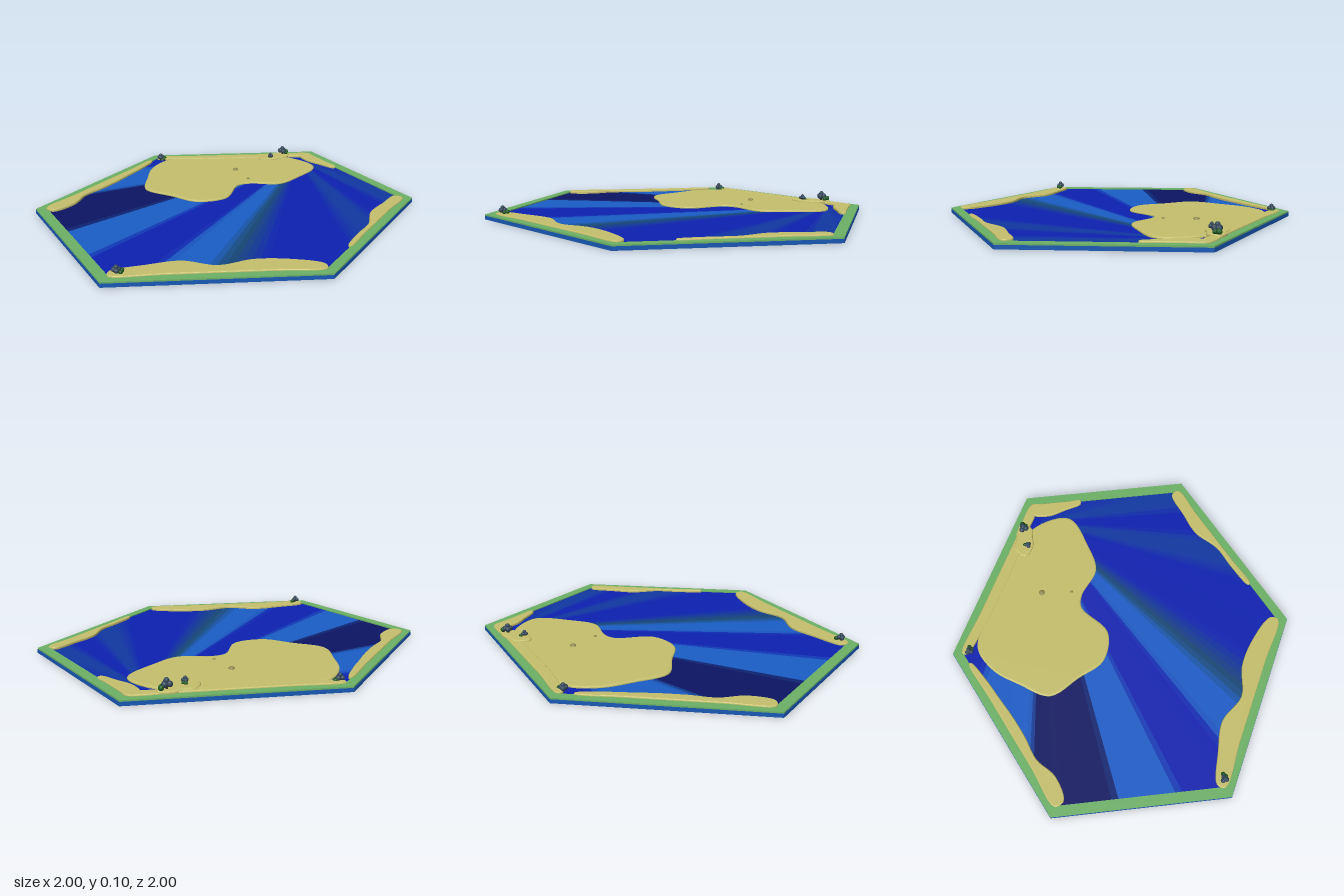
import * as THREE from 'three';

const mat = (color, extra = {}) => new THREE.MeshStandardMaterial({ color, ...extra });
const SAND = mat(0xc4be6c), RIM = mat(0x6cb066), BASE = mat(0x1858b4);
const LEAF = mat(0x1f5a22, { flatShading: true }), PINE = mat(0x34485a, { flatShading: true });
const TRUNK = mat(0x3a3226), ROCK = mat(0x8f8a50, { flatShading: true });

// Ground-plane points are Vector2(x, -z); hexagon edges run from the front corner towards +x
const hexagon = (s) => [[0, 1], [1, 0.5], [1, -0.5], [0, -1], [-1, -0.5], [-1, 0.5]]
  .map(([x, z]) => new THREE.Vector2(x * s, -z * s));

// Point on the hexagon border: whole part of t is the edge, the fraction runs along it
function borderPoint(s, t) {
  const corners = hexagon(s), i = Math.floor(t);
  return corners[i % 6].clone().lerp(corners[(i + 1) % 6], t - i);
}

function addMesh(group, name, geometry, material, x = 0, y = 0, z = 0) {
  const mesh = new THREE.Mesh(geometry, material);
  mesh.name = name;
  mesh.position.set(x, y, z);
  group.add(mesh);
  return mesh;
}

function slab(outline, hole, depth) {
  const shape = new THREE.Shape(outline);
  if (hole) shape.holes.push(new THREE.Path(hole));
  return new THREE.ExtrudeGeometry(shape, { depth, bevelEnabled: false }).rotateX(-Math.PI / 2);
}

// Sand patch: smooth closed outline with a softly rounded upper edge
function addSand(group, name, points, top, round) {
  const curve = new THREE.CatmullRomCurve3(points.map((p) => new THREE.Vector3(p.x, p.y, 0)), true, 'centripetal');
  const outline = curve.getPoints(points.length * 6).slice(0, -1).map((p) => new THREE.Vector2(p.x, p.y));
  const depth = top - 0.024;
  const geometry = new THREE.ExtrudeGeometry(new THREE.Shape(outline), {
    depth, bevelEnabled: true, bevelThickness: 0.007,
    bevelSize: round, bevelOffset: -round, bevelSegments: 3,
  }).rotateX(-Math.PI / 2);
  addMesh(group, name, geometry, SAND, 0, top - depth - 0.007, 0);
}

// Island outline from radii at equal angles, turning from +x to +z
const radialOutline = (x, z, radii) => radii.map((r, i) => {
  const a = (i / radii.length) * Math.PI * 2;
  return new THREE.Vector2(x + r * Math.cos(a), -z - r * Math.sin(a));
});

// Shore outline: a strip along one border edge with varying width
function shoreOutline(edge, from, to, widths) {
  const corners = hexagon(0.945);
  const a = corners[edge], b = corners[(edge + 1) % 6];
  const dir = b.clone().sub(a).normalize();
  const inward = new THREE.Vector2(-dir.y, dir.x);
  const inner = widths.map((w, i) => a.clone()
    .lerp(b, from + (to - from) * i / (widths.length - 1)).addScaledVector(inward, w));
  const outer = [1, 0.75, 0.5, 0.25, 0].map((t) => a.clone().lerp(b, from + (to - from) * t));
  return [...inner, ...outer];
}

// Water: coloured rays fanning out from one point to the border
function buildWater() {
  const water = new THREE.Group();
  water.name = 'water';
  const deep = 0x0d20b0, light = 0x1a5cc6, navy = 0x0b1462, teal = 0x15486c, mid = 0x1038a0;
  const stops = [
    [0, deep], [0.26, deep], [0.42, mid], [0.58, mid], [0.66, deep], [0.82, deep], [0.9, mid], [1, mid],
    [2, deep], [3.18, deep], [3.25, light], [3.72, light], [3.8, navy], [4.35, navy], [4.39, light],
    [4.7, light], [4.74, deep], [5.14, deep], [5.2, light], [5.4, light], [5.5, teal], [5.7, deep], [6, deep],
  ];
  const colorAt = (t) => {
    const i = stops.findIndex((stop) => stop[0] > t);
    const [t0, c0] = stops[i - 1], [t1, c1] = stops[i];
    return new THREE.Color(c0).lerp(new THREE.Color(c1), (t - t0) / (t1 - t0));
  };
  const y = 0.0225, rays = 144;
  for (let k = 0; k < rays; k++) {
    const t = k * 6 / rays, step = 6 / rays;
    const a = borderPoint(0.95, t), b = borderPoint(0.95, t + step);
    const geometry = new THREE.BufferGeometry();
    geometry.setAttribute('position', new THREE.Float32BufferAttribute(
      [0.82, y, -0.42, a.x, y, -a.y, b.x, y, -b.y], 3));
    geometry.computeVertexNormals();
    addMesh(water, 'waterRay', geometry, mat(colorAt(t + step / 2)));
  }
  return water;
}

// Tiny tree clump: a trunk, a dark crown and low bushes beside it
function buildTree(x, y, z, size, turn) {
  const tree = new THREE.Group();
  tree.name = 'treeClump';
  const ball = (name, material, r, px, py, pz) =>
    addMesh(tree, name, new THREE.IcosahedronGeometry(r, 1), material, px, py, pz);
  addMesh(tree, 'trunk', new THREE.CylinderGeometry(0.004, 0.006, 0.024, 6), TRUNK, 0, 0.01, 0);
  ball('crownTop', PINE, 0.012, 0, 0.036, 0);
  for (let i = 0; i < 3; i++) {
    const a = i * Math.PI * 2 / 3;
    ball('crown', PINE, 0.014, 0.012 * Math.cos(a), 0.021, 0.012 * Math.sin(a));
  }
  ball('bush', LEAF, 0.013, 0.028, 0.011, 0.004);
  ball('bush', LEAF, 0.011, 0.014, 0.009, 0.016);
  tree.position.set(x, y, z);
  tree.scale.setScalar(size);
  tree.rotation.y = turn;
  return tree;
}

export function createModel() {
  const model = new THREE.Group();
  model.name = 'islandTile';

  // Tile body, raised grassy border and water
  addMesh(model, 'base', slab(hexagon(1), null, 0.021), BASE);
  addMesh(model, 'rim', slab(hexagon(0.998), hexagon(0.94), 0.008), RIM, 0, 0.021, 0);
  model.add(buildWater());

  // Main island and the small mound beside it
  addSand(model, 'mainIsland', radialOutline(0.25, -0.45, [
    0.54, 0.61, 0.48, 0.395, 0.245, 0.235, 0.43, 0.51, 0.51,
    0.57, 0.51, 0.495, 0.465, 0.36, 0.297, 0.288, 0.317, 0.41]), 0.034, 0.012);
  addSand(model, 'sandMound', radialOutline(0.71, -0.535,
    [0.11, 0.08, 0.055, 0.08, 0.13, 0.09, 0.045, 0.06]), 0.044, 0.012);

  // Shores along the border: name, edge, start, end, widths
  const shores = [
    ['frontLeftShore', 0, 0.27, 1, [0.015, 0.03, 0.03, 0.08, 0.07, 0.05]],
    ['leftShore', 1, 0.67, 1, [0.025, 0.06, 0.09, 0.07]],
    ['backLeftShore', 2, 0, 1, [0.04, 0.05, 0.065, 0.065, 0.06, 0.03]],
    ['backRightShore', 3, 0.08, 1, [0.015, 0.04, 0.05, 0.06, 0.06, 0.05, 0.09, 0.06]],
    ['frontRightShore', 5, 0, 1, [0.05, 0.1, 0.13, 0.07, 0.12, 0.11, 0.05]],
  ];
  for (const [name, edge, from, to, widths] of shores) {
    addSand(model, name, shoreOutline(edge, from, to, widths), 0.037, 0.006);
  }

  // Trees around the border
  model.add(
    buildTree(-0.9, 0.034, 0.47, 1, 0.2),
    buildTree(0, 0.024, -0.9, 1, 0.1),
    buildTree(0.65, 0.04, -0.51, 0.8, 1.3),
    buildTree(0.765, 0.043, -0.53, 1.2, 0.3),
  );

  // Small rocks on the island
  for (const [x, z, r] of [[0.33, -0.45, 0.018], [0.315, -0.27, 0.009]]) {
    addMesh(model, 'rock', new THREE.IcosahedronGeometry(r, 1), ROCK, x, 0.035, z).scale.y = 0.6;
  }
  return model;
}
